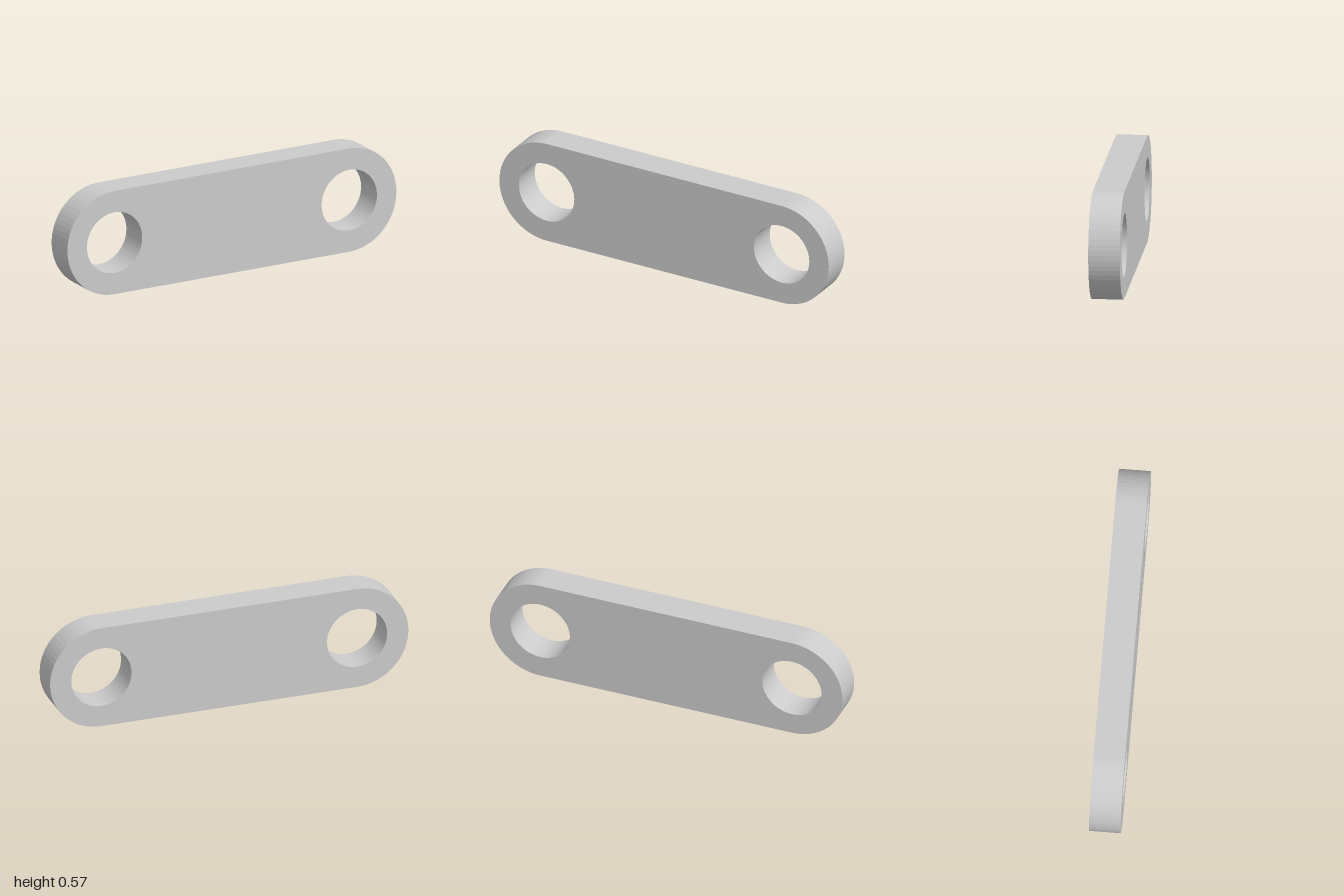
import * as THREE from 'three';

const END_RADIUS = 0.2865;
const HOLE_RADIUS = 0.168;
const CENTRE_X = 1 - END_RADIUS;
const THICKNESS = 0.167;

export function createModel() {
  const group = new THREE.Group();
  group.name = 'linkPlate';

  // Rounded-end outline: two half circles joined by straight edges
  const outline = new THREE.Shape();
  outline.absarc(CENTRE_X, END_RADIUS, END_RADIUS, -Math.PI / 2, Math.PI / 2, false);
  outline.absarc(-CENTRE_X, END_RADIUS, END_RADIUS, Math.PI / 2, Math.PI * 1.5, false);
  outline.closePath();

  // Pin hole concentric with each rounded end, as two half circles
  for (const side of [-1, 1]) {
    const hole = new THREE.Path();
    hole.absarc(side * CENTRE_X, END_RADIUS, HOLE_RADIUS, 0, Math.PI, false);
    hole.absarc(side * CENTRE_X, END_RADIUS, HOLE_RADIUS, Math.PI, Math.PI * 2, false);
    outline.holes.push(hole);
  }

  // Flat plate, centred in depth
  const geometry = new THREE.ExtrudeGeometry(outline, {
    depth: THICKNESS,
    bevelEnabled: false,
    curveSegments: 16,
  });
  geometry.translate(0, 0, -THICKNESS / 2);

  const material = new THREE.MeshStandardMaterial({ color: 0xcccccc, flatShading: true });
  const plate = new THREE.Mesh(geometry, material);
  plate.name = 'plate';
  group.add(plate);
  return group;
}
